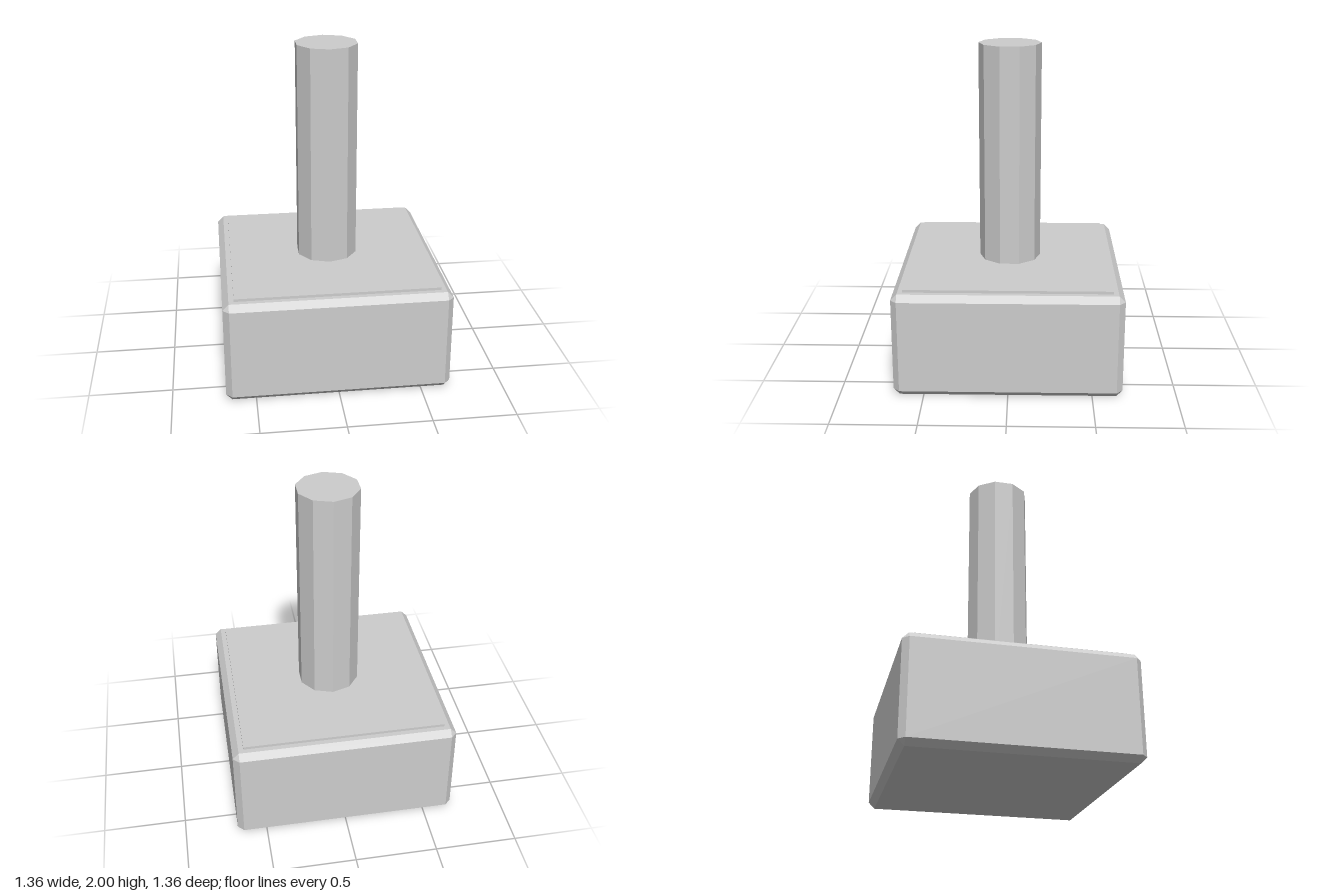
import * as THREE from 'three';
import { ConvexGeometry } from 'three/addons/geometries/ConvexGeometry.js';

// Box with every edge and corner cut by c
function chamferedBox(w, h, d, c) {
  const points = [];
  for (const sx of [-1, 1]) for (const sy of [-1, 1]) for (const sz of [-1, 1]) {
    const x = w / 2, y = h / 2, z = d / 2;
    points.push(
      new THREE.Vector3(sx * x, sy * (y - c), sz * (z - c)),
      new THREE.Vector3(sx * (x - c), sy * y, sz * (z - c)),
      new THREE.Vector3(sx * (x - c), sy * (y - c), sz * z)
    );
  }
  return new ConvexGeometry(points);
}

export function createModel() {
  const group = new THREE.Group();
  const grey = new THREE.MeshStandardMaterial({ color: 0xcccccc, flatShading: true });
  grey.name = 'grey';

  const add = (name, geometry, y) => {
    const mesh = new THREE.Mesh(geometry, grey);
    mesh.name = name;
    mesh.position.y = y;
    group.add(mesh);
  };

  // Heavy bevelled block
  add('block', chamferedBox(1.36, 0.64, 1.36, 0.037), 0.32);

  // Thin raised plate on the block
  add('plate', new THREE.BoxGeometry(1.224, 0.036, 1.224), 0.638);

  // Ten-sided upright shaft
  add('shaft', new THREE.CylinderGeometry(0.19, 0.19, 1.36, 10), 1.32);

  return group;
}
